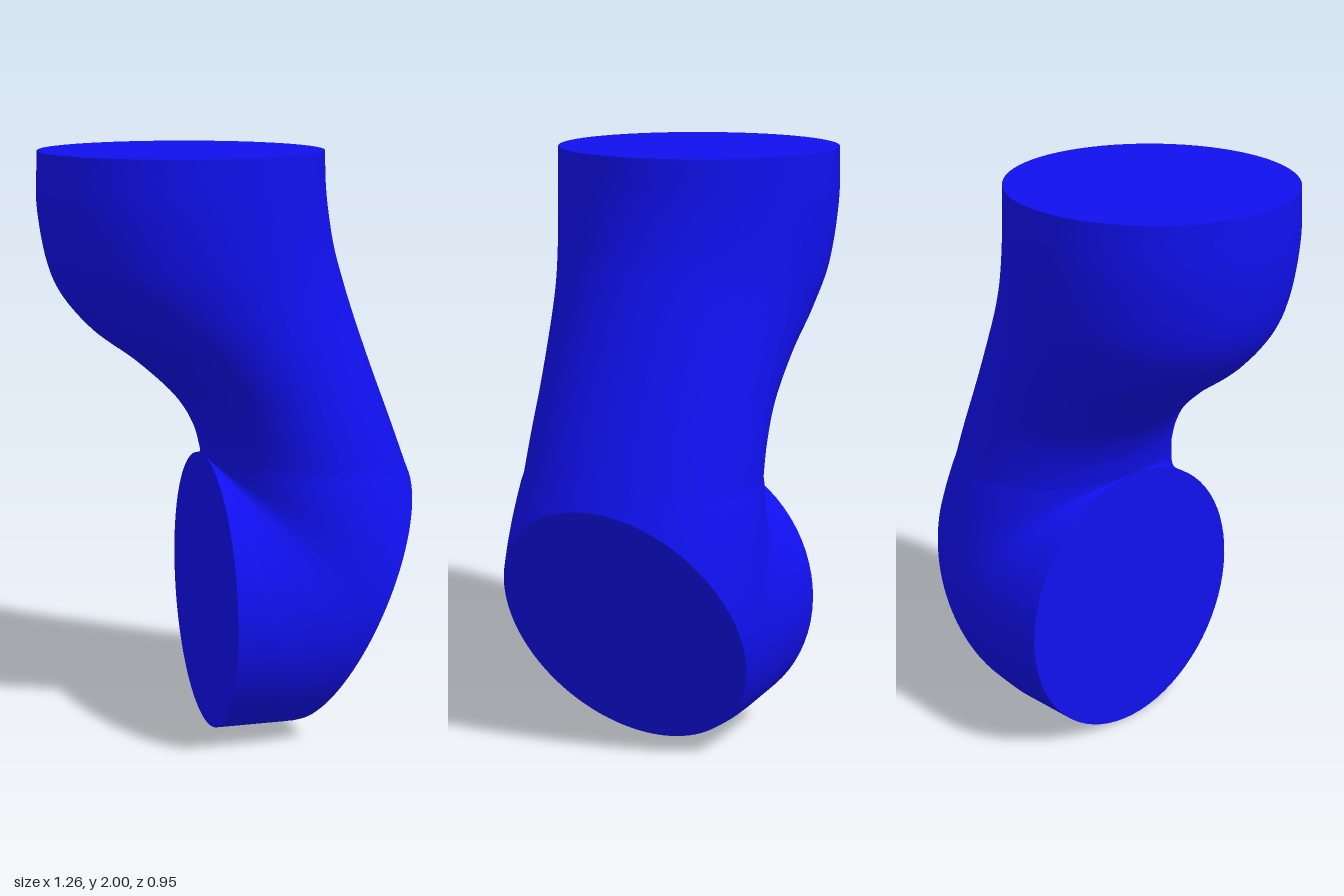
import * as THREE from 'three';
import { mergeVertices } from 'three/addons/utils/BufferGeometryUtils.js';

const SIDES = 72;
const V = (x, y, z = 0) => new THREE.Vector3(x, y, z);

// Cross-section between an inner and an outer point: an ellipse of half width b,
// cut off at the outer point where its half width is w (0 = whole ellipse).
function section(inner, outer, b, w = 0) {
  const a0 = Math.asin(Math.min(w / b, 1));
  const a = 1 / (1 + Math.cos(a0));
  const ring = [];
  for (let j = 0; j <= SIDES; j++) {
    const t = a0 + (2 * Math.PI - 2 * a0) * j / SIDES;
    const p = V(inner.x, inner.y).lerp(V(outer.x, outer.y), a * (1 + Math.cos(t)));
    ring.push(p.setZ(b * Math.sin(t)));
  }
  return ring;
}

// Smooth skin through a list of sections
function loft(rings) {
  const index = [], n = SIDES + 1;
  for (let i = 0; i < rings.length - 1; i++) {
    for (let j = 0; j < SIDES; j++) {
      const a = i * n + j, c = a + n;
      index.push(a, a + 1, c, a + 1, c + 1, c);
    }
  }
  let g = new THREE.BufferGeometry().setFromPoints(rings.flat());
  g.setIndex(index);
  g = mergeVertices(g, 1e-5);
  g.computeVertexNormals();
  return g;
}

// Flat end face closing a ring
function cap(ring, flip = false) {
  const mid = V(0, 0);
  ring.forEach((p) => mid.addScaledVector(p, 1 / ring.length));
  const index = [];
  ring.forEach((p, i) => {
    const a = i + 1, b = (i + 1) % ring.length + 1;
    index.push(0, flip ? b : a, flip ? a : b);
  });
  const g = new THREE.BufferGeometry().setFromPoints([mid, ...ring]);
  g.setIndex(index);
  g.computeVertexNormals();
  return g;
}

export function createModel() {
  const group = new THREE.Group();
  const material = new THREE.MeshStandardMaterial({ color: 0x1010ee });
  const add = (name, geometry) => {
    const mesh = new THREE.Mesh(geometry, material);
    mesh.name = name;
    group.add(mesh);
  };

  const crook = V(-0.08, 0.96);
  const rings = [], slantFront = [], slantBack = [];

  // Upper pipe: inner contour (z holds the half width) and outer contour
  const innerLine = new THREE.CatmullRomCurve3([
    V(-0.63, 2, 0.475), V(-0.633, 1.8, 0.475), V(-0.585, 1.577, 0.46), V(-0.47, 1.42, 0.437),
    V(-0.31, 1.296, 0.417), V(-0.177, 1.17, 0.404), V(-0.108, 1.06, 0.405), V(-0.08, 0.96, 0.41),
  ], false, 'catmullrom');
  const outerLine = new THREE.CatmullRomCurve3([
    V(0.32, 2), V(0.327, 1.86), V(0.352, 1.7), V(0.385, 1.58),
    V(0.43, 1.44), V(0.495, 1.26), V(0.56, 1.09), V(0.627, 0.91),
  ], false, 'catmullrom');
  for (let i = 0; i < 48; i++) {
    const p = innerLine.getPoint(i / 48);
    rings.push(section(p, outerLine.getPoint(i / 48), p.z));
  }

  // Elbow: sections fan around the crook and are cut by the slanted plane
  const top = V(0.627, 0.91), bottom = V(0.203, 0);
  for (let i = 0; i <= 64; i++) {
    const t = Math.PI * i / 64;
    const q = top.clone().lerp(bottom, (1 - Math.cos(t)) / 2);
    const w = i === 64 ? 0 : 0.44 * Math.sin(t);
    const dir = q.clone().sub(crook).normalize();
    const b = 0.41 + 0.065 * Math.max(0, -dir.y);
    rings.push(section(crook, q, b, w));
    slantFront.push(V(q.x, q.y, w));
    if (i > 0 && i < 64) slantBack.unshift(V(q.x, q.y, -w));
  }

  // Short outlet down to the upright end face
  for (let i = 1; i <= 10; i++) {
    rings.push(section(crook, V(0.203 - 0.283 * i / 10, 0), 0.475));
  }

  add('bentPipeBody', loft(rings));
  add('topFace', cap(rings[0].slice(0, SIDES), true));
  add('sideFace', cap(rings[rings.length - 1].slice(0, SIDES)));
  add('slantedFace', cap([...slantFront, ...slantBack]));
  return group;
}
